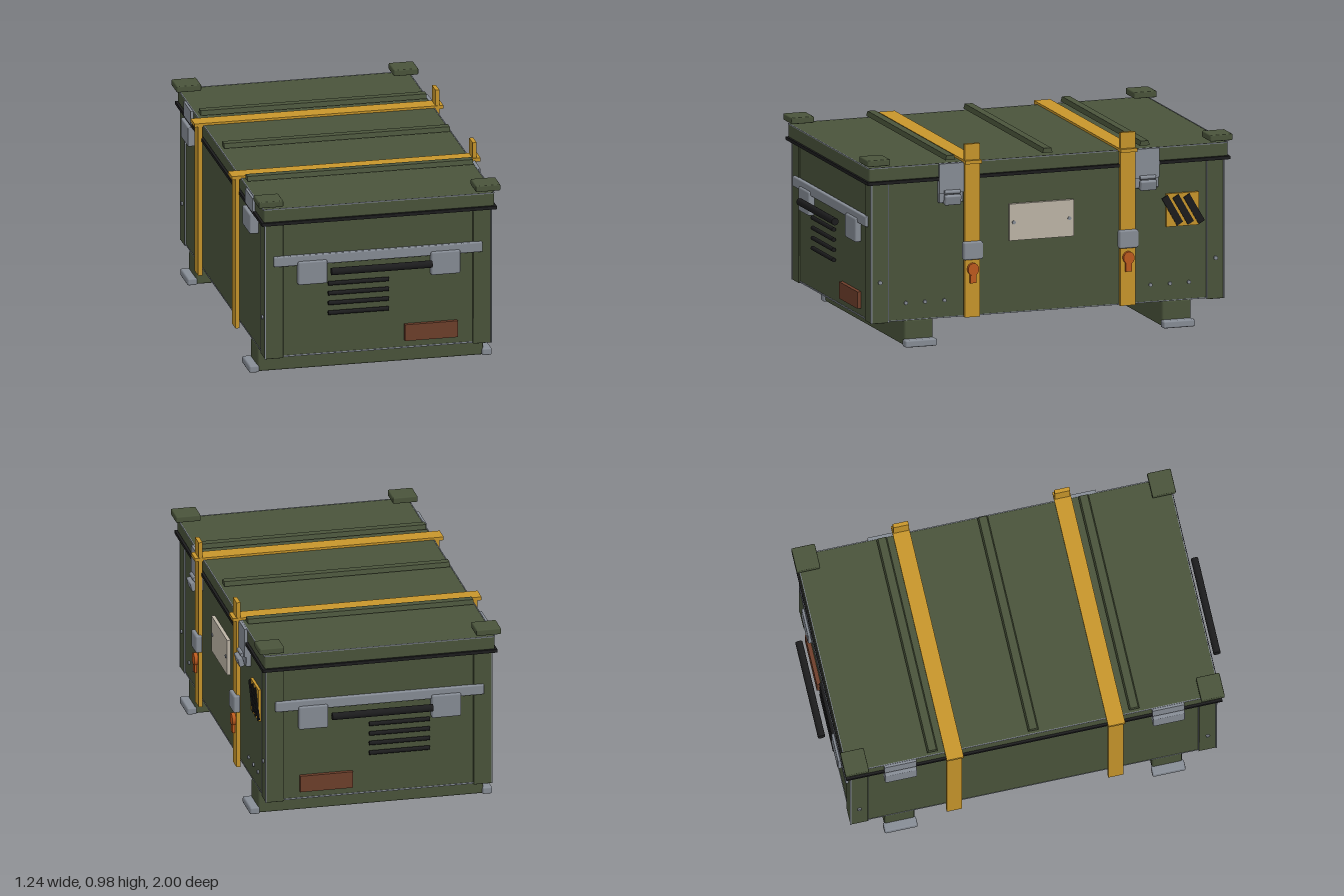
import * as THREE from 'three';
import { RoundedBoxGeometry } from 'three/addons/geometries/RoundedBoxGeometry.js';

const mat = (name, color) => {
  const m = new THREE.MeshStandardMaterial({ color });
  m.name = name;
  return m;
};

export function createModel() {
  const root = new THREE.Group();
  root.name = 'storageCrate';
  const green = mat('olivePaint', 0x4a543b);
  const steel = mat('steel', 0x878d96);
  const black = mat('blackRubber', 0x1c1c1d);
  const yellow = mat('yellowWebbing', 0xc8962b);
  const cream = mat('creamPlate', 0xbdb5a6);
  const rust = mat('rustPanel', 0x6e3f2b);
  const orange = mat('orangeTag', 0xbd5a1e);

  const add = (name, geo, m, x, y, z) => {
    const mesh = new THREE.Mesh(geo, m);
    mesh.name = name;
    mesh.position.set(x, y, z);
    root.add(mesh);
    return mesh;
  };
  // box given by its limits; r > 0 softens the edges
  const box = (name, m, [x0, x1], [y0, y1], [z0, z1], r = 0) => {
    const w = Math.abs(x1 - x0), h = y1 - y0, d = Math.abs(z1 - z0);
    const geo = r ? new RoundedBoxGeometry(w, h, d, 1, r) : new THREE.BoxGeometry(w, h, d);
    return add(name, geo, m, (x0 + x1) / 2, (y0 + y1) / 2, (z0 + z1) / 2);
  };
  const rod = (name, m, r, length, x, y, z) => {
    const mesh = add(name, new THREE.CylinderGeometry(r, r, length, 16), m, x, y, z);
    mesh.rotation.z = Math.PI / 2;
    return mesh;
  };

  // main shell, seal and lid
  box('body', green, [-0.555, 0.555], [0.13, 0.82], [-0.898, 0.898]);
  box('seal', black, [-0.583, 0.583], [0.812, 0.828], [-0.932, 0.932]);
  box('lid', green, [-0.573, 0.573], [0.826, 0.896], [-0.924, 0.924], 0.008);

  // lid ribs
  for (const z of [-0.5, 0, 0.5]) {
    const s = new THREE.Shape();
    s.moveTo(-0.026, 0);
    s.lineTo(0.026, 0);
    s.lineTo(0.019, 0.023);
    s.lineTo(-0.019, 0.023);
    const geo = new THREE.ExtrudeGeometry(s, { depth: 1.12, bevelEnabled: false });
    geo.translate(0, 0, -0.56).rotateY(Math.PI / 2);
    add('lidRib', geo, green, 0, 0.906, z);
  }

  for (const sz of [-1, 1]) {
    // corners: posts with bare metal edges, caps, post rivets
    for (const sx of [-1, 1]) {
      box('cornerPost', green, [sx * 0.47, sx * 0.562], [0.123, 0.813], [sz * 0.82, sz * 0.907], 0.004);
      box('wornPostEdge', steel, [sx * 0.558, sx * 0.564], [0.125, 0.812], [sz * 0.903, sz * 0.909]);
      box('wornPostEdge', steel, [sx * 0.555, sx * 0.563], [0.125, 0.812], [sz * 0.818, sz * 0.821]);
      box('cornerCap', green, [sx * 0.477, sx * 0.6], [0.908, 0.94], [sz * 0.823, sz * 0.94], 0.006);
      rod('postRivet', steel, 0.01, 0.012, sx * 0.564, 0.326, sz * 0.863);
      box('skidFoot', steel, [sx * 0.553, sx * 0.602], [0.002, 0.038], [sz * 0.582, sz * 0.746], 0.008);
      box('handlePad', steel, [sx * 0.257, sx * 0.403], [0.498, 0.617], [sz * 0.9, sz * 0.934], 0.008);
    }
    // metal edging
    box('wornLidEdge', steel, [-0.57, 0.57], [0.891, 0.896], [sz * 0.92, sz * 0.925]);
    box('wornSideLidEdge', steel, [sz * 0.5695, sz * 0.574], [0.891, 0.896], [-0.92, 0.92]);
    box('wornBodyEdge', steel, [-0.47, 0.47], [0.127, 0.134], [sz * 0.893, sz * 0.901]);
    box('wornSideBodyEdge', steel, [sz * 0.552, sz * 0.557], [0.128, 0.133], [-0.82, 0.82]);

    // skid
    box('skid', green, [-0.56, 0.56], [0.004, 0.132], [sz * 0.588, sz * 0.738], 0.01);

    // end wall fittings
    box('endRail', steel, [-0.52, 0.516], [0.595, 0.646], [sz * 0.898, sz * 0.922], 0.006);
    rod('handleGrip', black, 0.018, 0.5, 0, 0.574, sz * 0.98);
    for (let i = 0; i < 4; i++) rod('ventSlat', black, 0.0105, 0.3, -0.1, 0.491 - i * 0.05, sz * 0.914);
    box('rustPanel', rust, [0.131, 0.393], [0.168, 0.251], [sz * 0.897, sz * 0.918]);

    // hinge on the right wall
    box('hinge', steel, [-0.6, -0.553], [0.712, 0.81], [sz * 0.585, sz * 0.743], 0.006);
    box('hingeLeaf', steel, [-0.586, -0.57], [0.82, 0.893], [sz * 0.585, sz * 0.743]);

    // strap over the lid and down both walls
    const zs = [sz * 0.4 - 0.038, sz * 0.4 + 0.038];
    const zw = [sz * 0.4 - 0.042, sz * 0.4 + 0.042];
    box('strapTop', yellow, [-0.619, 0.616], [0.89, 0.907], zw);
    box('strapRight', yellow, [-0.6, -0.58], [0.128, 0.893], zs);
    box('strapLeft', yellow, [0.577, 0.597], [0.13, 0.986], zs);
    box('strapBuckle', steel, [0.58, 0.615], [0.415, 0.505], [sz * 0.4 - 0.05, sz * 0.4 + 0.05], 0.009);

    // orange tag: round head with a tail
    const head = rod('tagHead', orange, 0.028, 0.02, 0.605, 0.368, sz * 0.4);
    head.scale.set(1.1, 1, 1);
    box('tagTail', orange, [0.599, 0.612], [0.3, 0.36], [sz * 0.4 - 0.016, sz * 0.4 + 0.016]);

    // latch
    const zl = sz * 0.503;
    box('latchPlate', steel, [0.572, 0.587], [0.75, 0.895], [zl - 0.062, zl + 0.062]);
    box('latchBase', steel, [0.553, 0.58], [0.7, 0.812], [zl - 0.062, zl + 0.062], 0.004);
    const lever = box('latchLever', steel, [0.585, 0.612], [0.693, 0.742], [zl - 0.042, zl + 0.042], 0.006);
    lever.rotation.z = -0.25;
    const pin = add('latchPin', new THREE.CylinderGeometry(0.01, 0.01, 0.08, 12), steel, 0.592, 0.755, zl);
    pin.rotation.x = Math.PI / 2;

    // lower rivets
    for (const z of [0.53, 0.63, 0.728]) rod('wallRivet', steel, 0.009, 0.014, 0.557, 0.215, sz * z);
  }

  // name plate blank and its screws
  box('cableanPlate'.replace('cablean', 'blank'), cream, [0.55, 0.572], [0.487, 0.668], [-0.131, 0.2]);
  for (const z of [-0.108, 0.178]) rod('plateScrew', steel, 0.009, 0.008, 0.572, 0.577, z);

  // hazard plate with slanted bars
  box('hazardPlate', yellow, [0.55, 0.568], [0.497, 0.66], [-0.775, -0.608]);
  for (const z of [-0.638, -0.694, -0.75]) {
    const bar = add('hazardBar', new THREE.BoxGeometry(0.006, 0.158, 0.035), black, 0.57, 0.578, z);
    bar.rotation.x = 0.52;
  }
  return root;
}
